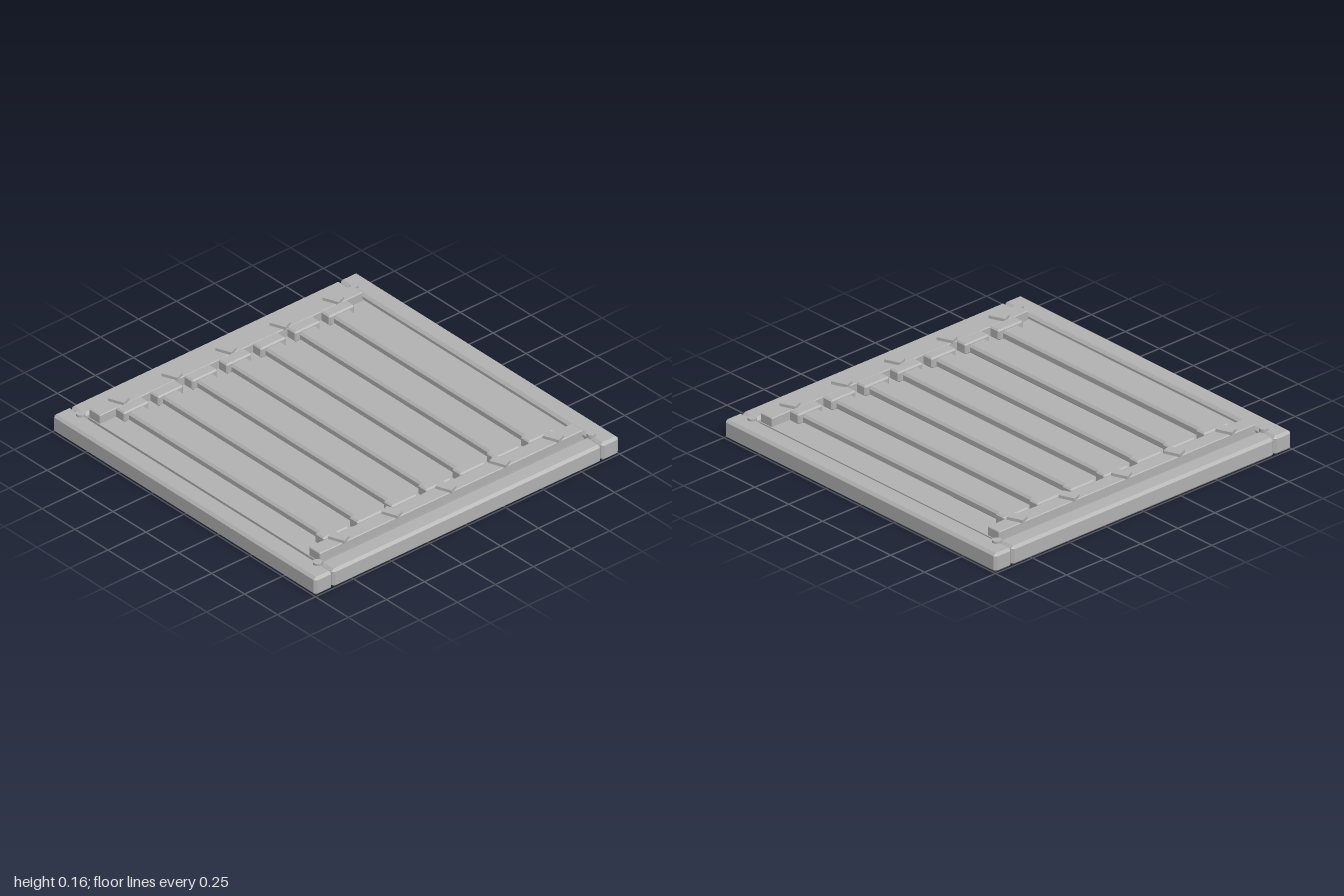
import * as THREE from 'three';
import { ConvexGeometry } from 'three/addons/geometries/ConvexGeometry.js';

const grey = new THREE.MeshStandardMaterial({ color: 0xb2b2b2 });
grey.name = 'plain grey';

// Box between two corners with every edge chamfered by c
function chamferBox(w, h, d, c) {
  const points = [];
  for (const sx of [-1, 1]) for (const sy of [-1, 1]) for (const sz of [-1, 1]) {
    const x = w / 2, y = h / 2, z = d / 2;
    points.push(
      new THREE.Vector3(sx * x, sy * (y - c), sz * (z - c)),
      new THREE.Vector3(sx * (x - c), sy * y, sz * (z - c)),
      new THREE.Vector3(sx * (x - c), sy * (y - c), sz * z));
  }
  return new ConvexGeometry(points);
}

export function createModel() {
  const model = new THREE.Group();
  model.name = 'slattedPanel';

  const add = (name, geometry, x, y, z) => {
    const mesh = new THREE.Mesh(geometry, grey);
    mesh.name = name;
    mesh.position.set(x, y, z);
    model.add(mesh);
    return mesh;
  };

  // Thin base panel, set inside the frame with a small gap
  add('basePanel', new THREE.BoxGeometry(1.74, 0.03, 1.76), 0, 0.075, 0);

  // Shared geometries
  const sideRail = chamferBox(0.115, 0.105, 2, 0.014);
  const endRail = chamferBox(1.766, 0.105, 0.108, 0.014);
  const crossbar = chamferBox(1.73, 0.055, 0.085, 0.004);
  const clip = new THREE.BoxGeometry(0.056, 0.018, 0.09);
  const bracket = chamferBox(0.166, 0.06, 0.07, 0.008);
  const slat = chamferBox(0.107, 0.05, 1.6, 0.012);
  const pin = new THREE.CylinderGeometry(0.025, 0.025, 0.02, 8).rotateY(Math.PI / 8);

  for (const s of [-1, 1]) {
    // Outer frame
    add(s > 0 ? 'leftRail' : 'rightRail', sideRail, s * 0.9425, 0.0525, 0);
    add(s > 0 ? 'frontRail' : 'backRail', endRail, 0, 0.0525, s * 0.946);

    // Crossbar holding the slat ends
    add('crossbar', crossbar, 0, 0.1125, s * 0.836);

    // Slanted clips over the crossbar
    for (const x of [-0.705, -0.355, 0, 0.355, 0.705]) {
      add('clip', clip, x, 0.147, s * 0.836).rotation.y = 0.38;
    }

    // Corner pins
    for (const t of [-1, 1]) add('cornerPin', pin, t * 0.9, 0.108, s * 0.9);
  }

  // Seven raised slats with a bracket at each end
  for (let i = -3; i <= 3; i++) {
    const x = i * 0.225 - 0.008;
    add('slat', slat, x, 0.11, 0);
    for (const s of [-1, 1]) add('slatBracket', bracket, x, 0.117, s * 0.758);
  }

  return model;
}
